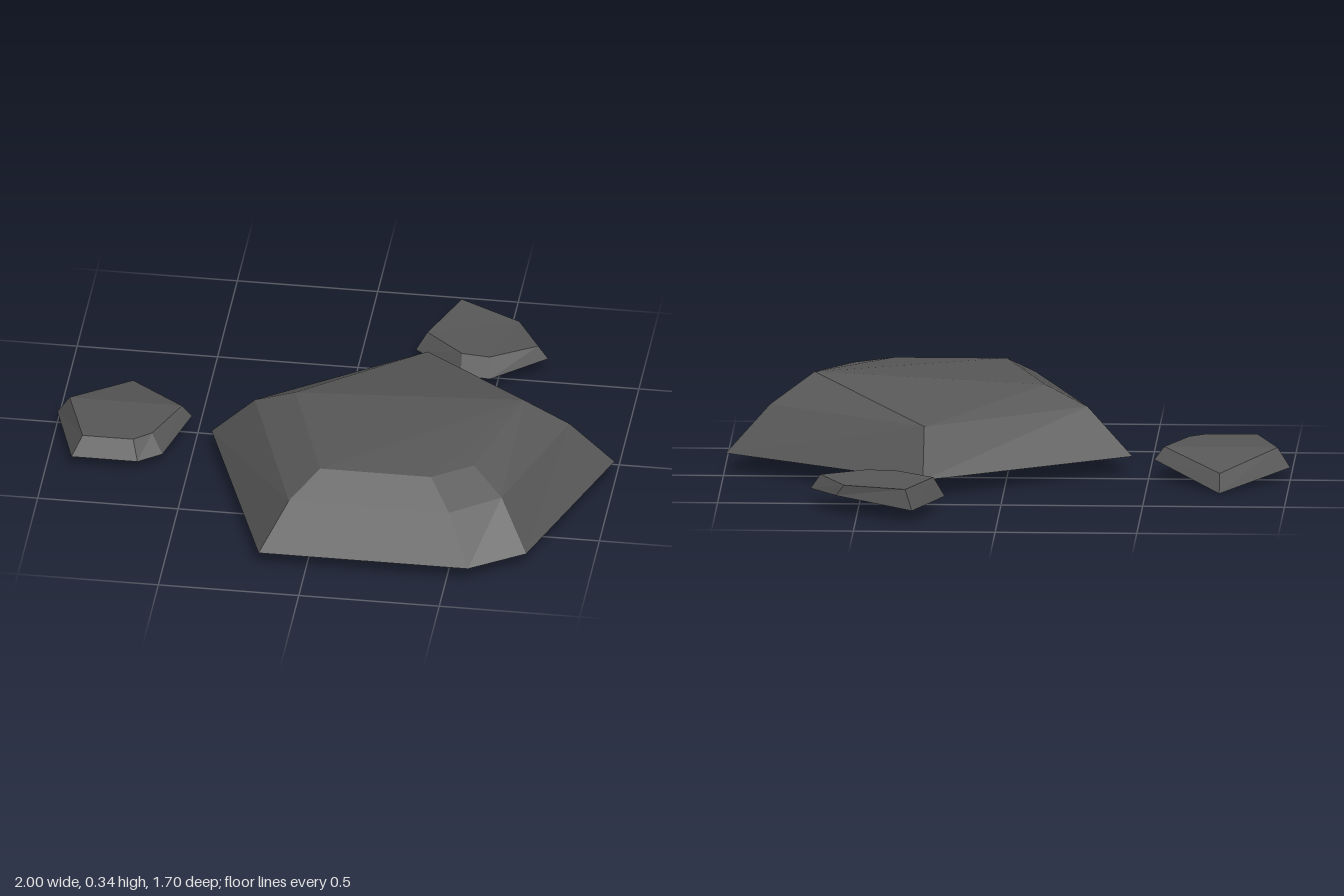
import * as THREE from 'three';

const V = (p) => new THREE.Vector3(...p);

// Faceted stone from stacked rings of [x, y, z] corners, ordered back, left, front, right.
function stone(name, rings, material) {
  const n = rings[0].length;
  const points = [];
  const tri = (a, b, c) => {
    const [A, B, C] = [V(a), V(b), V(c)];
    const area = B.clone().sub(A).cross(C.clone().sub(A)).length();
    if (area > 1e-6) points.push(A, B, C); // skip corners where rings meet
  };
  // sloping sides
  for (let r = 0; r < rings.length - 1; r++) {
    const low = rings[r], high = rings[r + 1];
    for (let i = 0; i < n; i++) {
      const j = (i + 1) % n;
      tri(low[i], low[j], high[j]);
      tri(low[i], high[j], high[i]);
    }
  }
  // top fans from the right corner, underside from the left corner
  const top = rings[rings.length - 1], base = rings[0];
  for (let k = 1; k < n - 1; k++) {
    const at = (s, d) => (s + d) % n;
    tri(top[n - 1], top[at(n - 1, k)], top[at(n - 1, k + 1)]);
    tri(base[1], base[at(1, k + 1)], base[at(1, k)]);
  }
  const geometry = new THREE.BufferGeometry().setFromPoints(points);
  geometry.computeVertexNormals();
  const mesh = new THREE.Mesh(geometry, material);
  mesh.name = name;
  return mesh;
}

export function createModel() {
  const group = new THREE.Group();
  group.name = 'rocks';
  const rock = new THREE.MeshStandardMaterial({ color: 0x585858, flatShading: true });
  rock.name = 'dark grey stone';

  // large boulder with two bevels and a tilted top
  group.add(stone('largeRock', [
    [[0.28, 0.065, -0.39], [-0.44, 0.065, 0.08], [-0.165, 0.065, 0.845],
      [0.58, 0.065, 0.845], [0.77, 0.065, 0.72], [0.995, 0.065, 0.08]],
    [[0.28, 0.235, -0.275], [-0.28, 0.235, 0.12], [-0.07, 0.235, 0.755],
      [0.5, 0.235, 0.755], [0.67, 0.235, 0.63], [0.84, 0.235, 0.12]],
    [[0.28, 0.235, -0.275], [-0.13, 0.305, 0.16], [0.025, 0.305, 0.64],
      [0.42, 0.305, 0.64], [0.56, 0.305, 0.545], [0.685, 0.345, 0.16]],
  ], rock));

  // small stone beside it, dipping at the back
  group.add(stone('sideRock', [
    [[-0.76, 0, -0.26], [-1, 0.045, 0], [-0.91, 0.045, 0.285],
      [-0.675, 0.045, 0.285], [-0.595, 0.045, 0.225], [-0.52, 0.07, 0]],
    [[-0.76, 0.063, -0.21], [-0.955, 0.115, 0.01], [-0.875, 0.115, 0.25],
      [-0.695, 0.115, 0.25], [-0.635, 0.115, 0.2], [-0.555, 0.115, 0.01]],
  ], rock));

  // small stone behind
  group.add(stone('backRock', [
    [[0.3, 0.045, -0.85], [0.195, 0.045, -0.575], [0.375, 0.045, -0.43],
      [0.48, 0.045, -0.42], [0.67, 0.065, -0.55], [0.575, 0.068, -0.695]],
    [[0.325, 0.115, -0.815], [0.235, 0.115, -0.585], [0.375, 0.115, -0.465],
      [0.475, 0.115, -0.455], [0.635, 0.115, -0.55], [0.545, 0.108, -0.71]],
  ], rock));

  return group;
}
